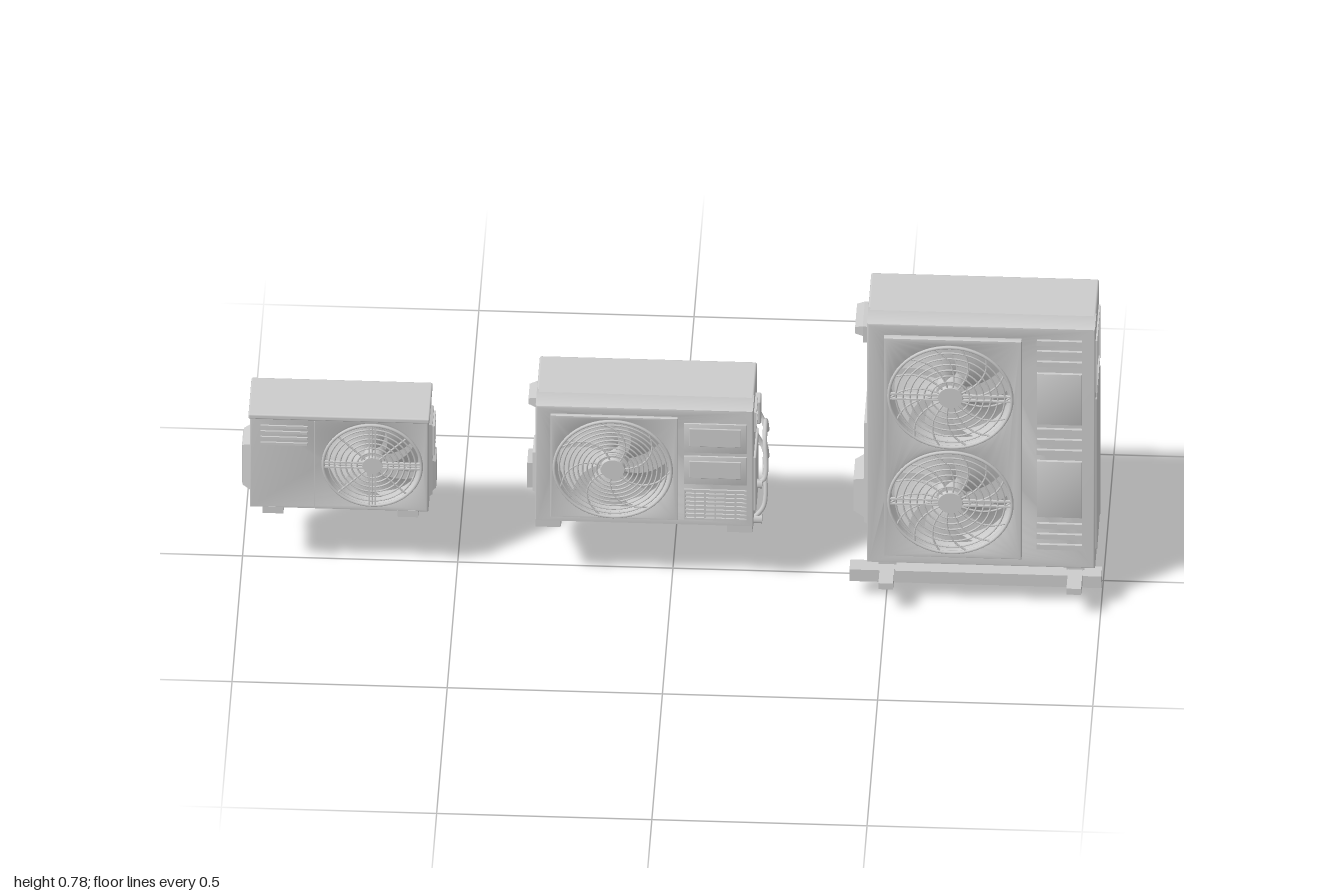
import * as THREE from 'three';
import { RoundedBoxGeometry } from 'three/addons/geometries/RoundedBoxGeometry.js';
import { toCreasedNormals } from 'three/addons/utils/BufferGeometryUtils.js';

const grey = new THREE.MeshStandardMaterial({ color: 0xcccccc });
const thin = new THREE.MeshStandardMaterial({ color: 0xcccccc, side: THREE.DoubleSide });

function add(parent, name, geometry, material = grey) {
  const mesh = new THREE.Mesh(geometry, material);
  mesh.name = name;
  parent.add(mesh);
  return mesh;
}

// Box given by its limits on each axis, optionally rounded
function box(parent, name, [x0, x1], [y0, y1], [z0, z1], r = 0) {
  const s = [x1 - x0, y1 - y0, z1 - z0];
  const g = r ? new RoundedBoxGeometry(...s, 2, r) : new THREE.BoxGeometry(...s);
  return add(parent, name, g.translate((x0 + x1) / 2, (y0 + y1) / 2, (z0 + z1) / 2));
}

// Rectangular plate with round fan openings, extruded from z0 to z1
function plate(parent, name, [x0, x1], [y0, y1], [z0, z1], fans, bevel) {
  const shape = new THREE.Shape([[x0, y0], [x1, y0], [x1, y1], [x0, y1]].map(p => new THREE.Vector2(...p)));
  for (const f of fans) shape.holes.push(new THREE.Path().absarc(f.x, f.y, f.r, 0, Math.PI * 2, true));
  const g = new THREE.ExtrudeGeometry(shape, {
    depth: z1 - z0 - 2 * bevel, bevelThickness: bevel, bevelSize: bevel, bevelOffset: -bevel,
    bevelSegments: 2, curveSegments: 40,
  }).translate(0, 0, z0 + bevel);
  return add(parent, name, toCreasedNormals(g, 0.6));
}

// Side profile of [z, y] points extruded across x0..x1
function profile(parent, name, points, x0, x1) {
  const shape = new THREE.Shape(points.map(([z, y]) => new THREE.Vector2(-z, y)));
  const g = new THREE.ExtrudeGeometry(shape, { depth: x1 - x0, bevelEnabled: false });
  return add(parent, name, g.rotateY(Math.PI / 2).translate(x0, 0, 0));
}

// Side cover that tapers away from the wall; dir is the outward x direction
function cover(parent, name, x, dir, depth, [y0, y1], [z0, z1], inset) {
  const g = new THREE.BoxGeometry(depth, y1 - y0, z1 - z0);
  const p = g.attributes.position;
  for (let i = 0; i < p.count; i++) if (p.getX(i) * dir > 0) {
    p.setY(i, p.getY(i) - Math.sign(p.getY(i)) * inset);
    p.setZ(i, p.getZ(i) - Math.sign(p.getZ(i)) * inset);
  }
  g.computeVertexNormals();
  return add(parent, name, g.translate(x + dir * depth / 2, (y0 + y1) / 2, (z0 + z1) / 2));
}

// Rectangular rim standing on a side wall
function sideFrame(parent, name, [x0, x1], [y0, y1], [z0, z1], w) {
  box(parent, name, [x0, x1], [y0, y0 + w], [z0, z1]);
  box(parent, name, [x0, x1], [y1 - w, y1], [z0, z1]);
  box(parent, name, [x0, x1], [y0, y1], [z0, z0 + w]);
  box(parent, name, [x0, x1], [y0, y1], [z1 - w, z1]);
}

// Propeller and wire guard; zf is the front of the guard
function fan(parent, { x, y, r, rings, spokes, curl, blades, cross }, zf) {
  const g = new THREE.Group();
  g.name = 'fan';
  g.position.set(x, y, zf);
  parent.add(g);
  const hub = r * 0.2;
  add(g, 'guardRim', new THREE.TorusGeometry(r, 0.004, 8, 56)).position.z = -0.003;
  for (let i = 1; i <= rings; i++)
    add(g, 'guardRing', new THREE.TorusGeometry(hub + (r - hub) * i / (rings + 1), 0.0022, 6, 48)).position.z = -0.003;
  add(g, 'guardHub', new THREE.CylinderGeometry(hub, hub * 1.1, 0.007, 32).rotateX(Math.PI / 2)).position.z = -0.003;
  for (let i = 0; i < spokes; i++) {
    const a0 = i / spokes * Math.PI * 2;
    const pts = [0.9, 1.8, 2.9, 4, 5].map(k => {
      const a = a0 + curl * (k / 5) ** 2;
      return new THREE.Vector3(Math.cos(a) * r * k / 5, Math.sin(a) * r * k / 5, -0.003);
    });
    add(g, 'guardSpoke', new THREE.TubeGeometry(new THREE.CatmullRomCurve3(pts), 12, 0.0022, 6));
  }
  // Straight paired braces on either side of the hub
  for (let i = 0; i < cross; i++) {
    const brace = new THREE.Group();
    brace.rotation.z = i * Math.PI * 2 / cross;
    brace.name = 'guardBrace';
    g.add(brace);
    for (const s of [-1, 1])
      box(brace, 'brace', [hub * 0.8, r], [s * 0.007 - 0.002, s * 0.007 + 0.002], [-0.006, 0]);
  }
  const motor = add(g, 'fanHub', new THREE.CylinderGeometry(r * 0.24, r * 0.26, 0.035, 28).rotateX(Math.PI / 2));
  motor.position.z = -0.034;
  for (let i = 0; i < blades; i++) {
    const blade = new THREE.PlaneGeometry(1, 1, 8, 8);
    const p = blade.attributes.position;
    for (let k = 0; k < p.count; k++) {
      const u = p.getX(k) + 0.5, v = p.getY(k) + 0.5;
      const rad = r * (0.2 + 0.72 * u);
      const a = i / blades * Math.PI * 2 + u * 0.45 + v * (0.65 + 0.25 * u);
      p.setXYZ(k, rad * Math.cos(a), rad * Math.sin(a), -0.046 + 0.026 * v);
    }
    blade.computeVertexNormals();
    add(g, 'fanBlade', blade, thin);
  }
}

// Cabinet with open fan wells at the front
function cabinet(parent, X, Y, [zb, zf], fans) {
  box(parent, 'cabinet', X, Y, [zb, zf - 0.05], 0.005);
  plate(parent, 'cabinetFront', X, Y, [zf - 0.07, zf], fans, 0.005);
}

function slots(parent, X, ys, h, [z0, z1]) {
  for (const y of ys) box(parent, 'louver', X, [y - h / 2, y + h / 2], [z0, z1]);
}

function smallUnit() {
  const u = new THREE.Group();
  u.name = 'smallUnit';
  const f = { x: -0.695, y: 0.323, r: 0.114, rings: 6, spokes: 8, curl: 0, blades: 7, cross: 4 };
  cabinet(u, [-0.98, -0.565], [0.19, 0.455], [-0.075, 0.07], [f]);
  fan(u, f, 0.077);
  box(u, 'lid', [-0.983, -0.562], [0.443, 0.457], [-0.077, 0.072], 0.004);
  slots(u, [-0.955, -0.845], [0.424, 0.408, 0.392, 0.376], 0.007, [0.068, 0.074]);
  box(u, 'frontSeam', [-0.831, -0.828], [0.195, 0.442], [0.068, 0.072]);
  // Side covers
  cover(u, 'leftCover', -0.98, -1, 0.018, [0.22, 0.35], [-0.042, 0.042], 0.008);
  sideFrame(u, 'coverFrame', [-1, -0.995], [0.232, 0.338], [-0.03, 0.03], 0.006);
  cover(u, 'valvePlate', -0.565, 1, 0.008, [0.215, 0.42], [-0.042, 0.042], 0.004);
  cover(u, 'valveCover', -0.558, 1, 0.009, [0.225, 0.31], [-0.032, 0.032], 0.005);
  sideFrame(u, 'handleFrame', [-0.558, -0.552], [0.325, 0.408], [-0.032, 0.032], 0.006);
  for (const x of [-0.95, -0.637])
    profile(u, 'bracket', [[0.07, 0.193], [0.07, 0.175], [-0.055, 0.135], [-0.09, 0.135], [-0.09, 0.18], [-0.07, 0.193]], x, x + 0.048);
  return u;
}

function mediumUnit() {
  const u = new THREE.Group();
  u.name = 'mediumUnit';
  const f = { x: -0.135, y: 0.35, r: 0.136, rings: 9, spokes: 7, curl: 0.9, blades: 5, cross: 0 };
  cabinet(u, [-0.315, 0.19], [0.185, 0.515], [-0.115, 0.085], [f]);
  plate(u, 'fanPanel', [-0.28, 0.015], [0.205, 0.495], [0.084, 0.095], [f], 0.003);
  fan(u, f, 0.102);
  // Front service panels and fine grille
  for (const Y of [[0.395, 0.478], [0.305, 0.385]]) {
    plate(u, 'servicePanel', [0.03, 0.175], Y, [0.083, 0.089], [], 0.002);
    box(u, 'panelInset', [0.042, 0.163], [Y[0] + 0.02, Y[1] - 0.012], [0.088, 0.092], 0.0015);
  }
  slots(u, [0.03, 0.175], Array.from({ length: 8 }, (_, i) => 0.207 + i * 0.0115), 0.005, [0.083, 0.089]);
  for (let i = 0; i < 7; i++) box(u, 'grilleBar', [0.03 + i * 0.0235, 0.034 + i * 0.0235], [0.205, 0.29], [0.084, 0.088]);
  // Left handle and cover
  cover(u, 'handle', -0.315, -1, 0.02, [0.462, 0.49], [-0.05, 0.02], 0.006);
  cover(u, 'leftCover', -0.315, -1, 0.01, [0.222, 0.338], [-0.052, 0.025], 0.004);
  profile(u, 'coverHood', [[-0.042, 0.23], [0.015, 0.23], [0.015, 0.3], [-0.042, 0.3]], -0.338, -0.32);
  // Right side valves, handle and pipes
  sideFrame(u, 'handleFrame', [0.188, 0.196], [0.425, 0.48], [-0.04, 0.04], 0.007);
  box(u, 'terminalCover', [0.188, 0.202], [0.385, 0.45], [-0.085, -0.045], 0.004);
  box(u, 'valvePlate', [0.188, 0.196], [0.205, 0.36], [-0.07, 0.05], 0.003);
  for (const [y, h] of [[0.33, 0], [0.255, -0.05]]) {
    const path = [[0.188, y - 0.07 + h / 2, 0.015], [0.212, y - 0.06, 0.01], [0.212, y + 0.03, -0.03], [0.212, y + 0.05, -0.07],
      [0.213, y, -0.1], [0.202, y + 0.02, -0.119], [0.18, y + 0.055, -0.12], [0.165, y + 0.04, -0.114]];
    add(u, 'pipe', new THREE.TubeGeometry(new THREE.CatmullRomCurve3(path.map(p => new THREE.Vector3(...p))), 48, 0.0055, 10));
    const nut = add(u, 'valve', new THREE.CylinderGeometry(0.011, 0.011, 0.022, 6).rotateZ(Math.PI / 2));
    nut.position.set(0.197, y - 0.07 + h / 2, 0.015);
  }
  for (const x of [-0.315, 0.13])
    profile(u, 'bracket', [[0.083, 0.19], [0.083, 0.168], [-0.075, 0.108], [-0.13, 0.108], [-0.13, 0.172], [-0.11, 0.19]], x, x + 0.058);
  return u;
}

function largeUnit() {
  const u = new THREE.Group();
  u.name = 'largeUnit';
  const fans = [0.59, 0.29].map(y => ({ x: 0.65, y, r: 0.143, rings: 6, spokes: 14, curl: 0.5, blades: 5, cross: 2 }));
  cabinet(u, [0.455, 0.985], [0.097, 0.78], [-0.115, 0.09], fans);
  plate(u, 'fanPanel', [0.495, 0.815], [0.128, 0.75], [0.088, 0.105], fans, 0.003);
  fans.forEach(f => fan(u, f, 0.113));
  // Front louvers and access panels
  for (const y of [0.7, 0.46, 0.19]) slots(u, [0.85, 0.955], [y - 0.03, y, y + 0.03].map(v => y === 0.7 ? v + 0.012 : v), 0.014, [0.088, 0.097]);
  for (const Y of [[0.51, 0.655], [0.245, 0.405]]) plate(u, 'accessPanel', [0.85, 0.955], Y, [0.088, 0.097], [], 0.002);
  // Right side window frame and ribs
  sideFrame(u, 'windowFrame', [0.983, 0.989], [0.58, 0.728], [-0.084, 0.06], 0.008);
  for (let i = 0; i < 6; i++) {
    const z = 0.054 - i * 0.0262;
    box(u, 'sideRib', [0.981, 0.989], [0.13, 0.562], [z - 0.005, z + 0.005], 0.0035);
  }
  // Left handle and stepped cover
  profile(u, 'handle', [[0.04, 0.69], [-0.06, 0.69], [-0.06, 0.735], [0.04, 0.735]], 0.443, 0.456);
  cover(u, 'handleGrip', 0.443, -1, 0.018, [0.708, 0.735], [-0.06, 0.04], 0.004);
  cover(u, 'leftCover', 0.456, -1, 0.01, [0.175, 0.465], [-0.087, 0.047], 0.004);
  cover(u, 'coverHood', 0.448, -1, 0.028, [0.178, 0.29], [-0.08, 0.025], 0.012);
  // Wall brackets: channels open to the back, with a tapering arm
  const side = [[0.157, 0.087], [0.157, 0.07], [-0.125, 0.003], [-0.157, 0.0], [-0.157, 0.723], [-0.137, 0.685], [-0.125, 0.17], [-0.125, 0.087]];
  for (const x of [0.485, 0.922]) {
    for (const dx of [0, 0.028]) profile(u, 'bracketSide', side, x + dx, x + dx + 0.006);
    profile(u, 'bracketWeb', [[-0.125, 0.02], [-0.132, 0.02], [-0.143, 0.685], [-0.137, 0.685], [-0.125, 0.17]], x, x + 0.034);
    box(u, 'armTop', [x, x + 0.034], [0.081, 0.087], [-0.13, 0.157]);
    box(u, 'armTip', [x, x + 0.034], [0.07, 0.087], [0.152, 0.157]);
    box(u, 'mountPad', [x - 0.004, x + 0.038], [0.086, 0.1], [-0.1, 0.08]);
    box(u, 'spacer', [x, x + 0.034], [0.107, 0.17], [-0.127, -0.112]);
  }
  box(u, 'crossRail', [0.415, 1], [0.05, 0.083], [0.06, 0.1]);
  return u;
}

export function createModel() {
  const model = new THREE.Group();
  model.name = 'outdoorUnits';
  model.add(smallUnit(), mediumUnit(), largeUnit());
  return model;
}
